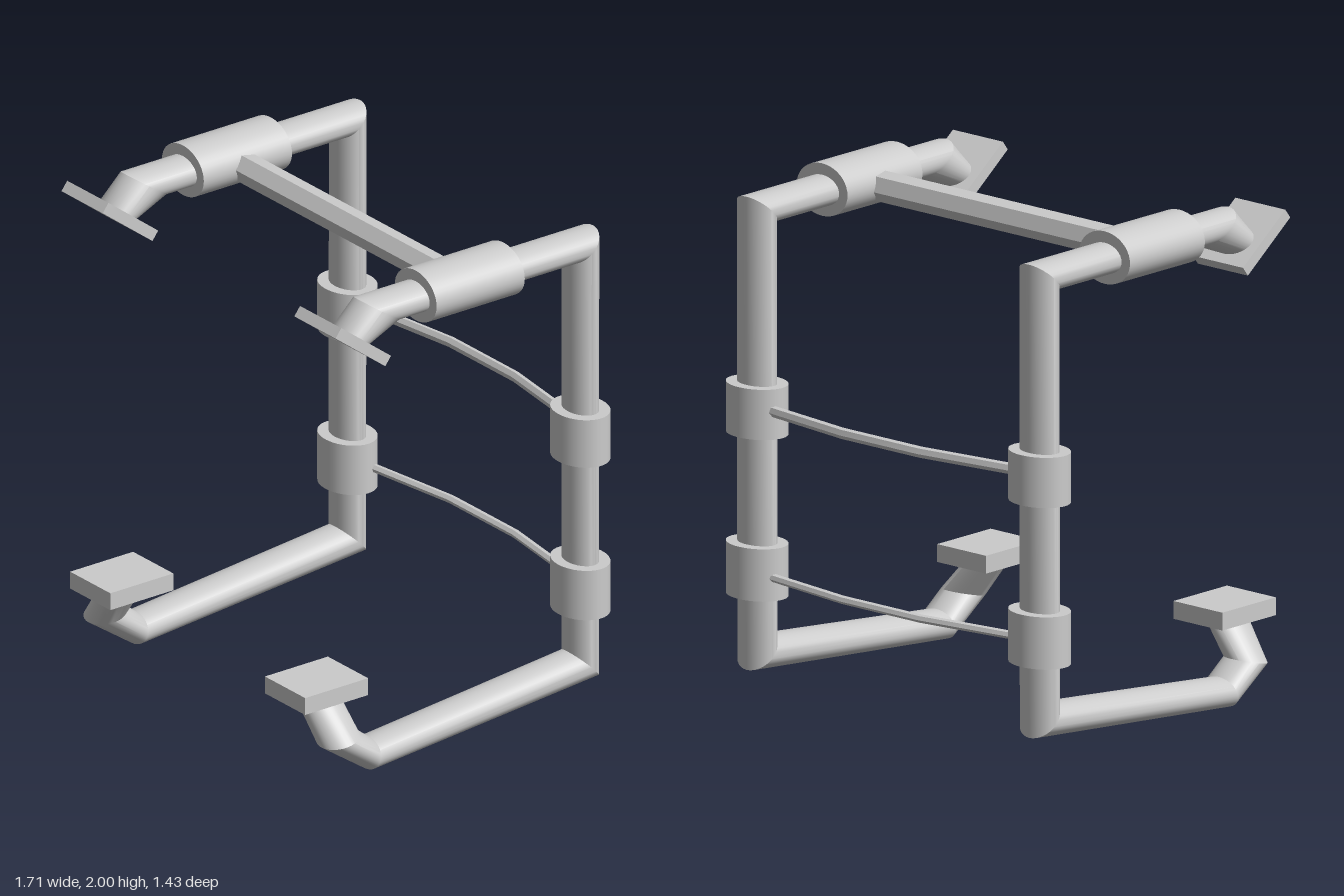
import * as THREE from 'three';
import { toCreasedNormals } from 'three/addons/utils/BufferGeometryUtils.js';

const material = new THREE.MeshStandardMaterial({ color: 0xcccccc });
const V = (x, y, z) => new THREE.Vector3(x, y, z);

function add(parent, name, geometry) {
  const mesh = new THREE.Mesh(geometry, material);
  mesh.name = name;
  parent.add(mesh);
  return mesh;
}

// Capped sweep through elliptical rings { c: centre, u, v: half axes }, running along u x v
function loft(rings, sides, start = 0) {
  const pos = [], index = [];
  for (const { c, u, v } of rings) {
    for (let j = 0; j < sides; j++) {
      const a = start + (j / sides) * Math.PI * 2;
      const p = c.clone().addScaledVector(u, Math.cos(a)).addScaledVector(v, Math.sin(a));
      pos.push(p.x, p.y, p.z);
    }
  }
  const last = rings.length - 1, base = pos.length / 3;
  pos.push(...rings[0].c.toArray(), ...rings[last].c.toArray());
  for (let j = 0; j < sides; j++) {
    const k = (j + 1) % sides;
    for (let i = 0; i < last; i++) {
      const a = i * sides + j, b = i * sides + k;
      index.push(a, b, a + sides, b, b + sides, a + sides);
    }
    index.push(base, k, j, base + 1, last * sides + j, last * sides + k);
  }
  const g = new THREE.BufferGeometry();
  g.setAttribute('position', new THREE.Float32BufferAttribute(pos, 3));
  g.setIndex(index);
  return toCreasedNormals(g, 0.45);
}

// Mitred frame tube, bottom to top: [x, y, z, half width, outer offset y, outer offset z]
const TUBE = [
  [0.60, 0.32, 0.567, 0.08, 0, 0.085],
  [0.723, 0.163, 0.55, 0.087, -0.018, 0.08],
  [0.723, 0.065, 0.413, 0.087, -0.06, 0.014],
  [0.723, 0.16, -0.603, 0.087, -0.06, -0.06],
  [0.723, 1.895, -0.605, 0.087, 0.06, -0.06],
  [0.723, 1.896, 0.368, 0.087, 0.06, 0.087],
  [0.723, 1.81, 0.505, 0.087, 0.05, 0.033],
];

function sideFrame(s) {
  const g = new THREE.Group();
  g.name = s > 0 ? 'leftFrame' : 'rightFrame';
  add(g, 'frameTube', loft(TUBE.map(([x, y, z, w, oy, oz]) =>
    ({ c: V(s * x, y, z), u: V(w, 0, 0), v: V(0, oy, oz) })), 32));

  // Collars on the rear post
  for (const [name, y0, y1] of [['lowerCollar', 0.387, 0.592], ['upperCollar', 1.02, 1.217]]) {
    const collar = add(g, name, new THREE.CylinderGeometry(1, 1, y1 - y0, 40));
    collar.scale.set(0.13, 1, 0.104);
    collar.position.set(s * 0.723, (y0 + y1) / 2, -0.604);
  }

  // Sleeve on the top rail
  const sleeve = add(g, 'topSleeve', new THREE.CylinderGeometry(1, 1, 0.42, 40).rotateX(Math.PI / 2));
  sleeve.scale.set(0.13, 0.103, 1);
  sleeve.position.set(s * 0.723, 1.897, -0.03);

  // Tilted pad at the top and level pad at the foot
  const topPad = add(g, 'topPad', new THREE.BoxGeometry(0.256, 0.045, 0.298));
  topPad.position.set(s * 0.723, 1.824, 0.528);
  topPad.rotation.x = -0.65;
  add(g, 'footPad', new THREE.BoxGeometry(0.25, 0.07, 0.3)).position.set(s * 0.605, 0.34, 0.562);
  return g;
}

// Six-sided bar across the model through [x, z] points at height y
function crossBar(points, y, ry, rz) {
  return loft(points.map(([x, z]) => ({ c: V(x, y, z), u: V(0, ry, 0), v: V(0, 0, rz) })), 6, Math.PI / 9);
}

export function createModel() {
  const model = new THREE.Group();
  model.name = 'frame';
  model.add(sideFrame(1), sideFrame(-1));

  add(model, 'topCrossBar', crossBar([[-0.65, -0.032], [0.65, -0.032]], 1.89, 0.06, 0.06));

  // Rear rods bow backwards
  const bow = [[-0.65, -0.635], [-0.2, -0.697], [0.2, -0.697], [0.65, -0.635]];
  add(model, 'upperRearRod', crossBar(bow, 1.13, 0.022, 0.019));
  add(model, 'lowerRearRod', crossBar(bow, 0.478, 0.016, 0.018));
  return model;
}
